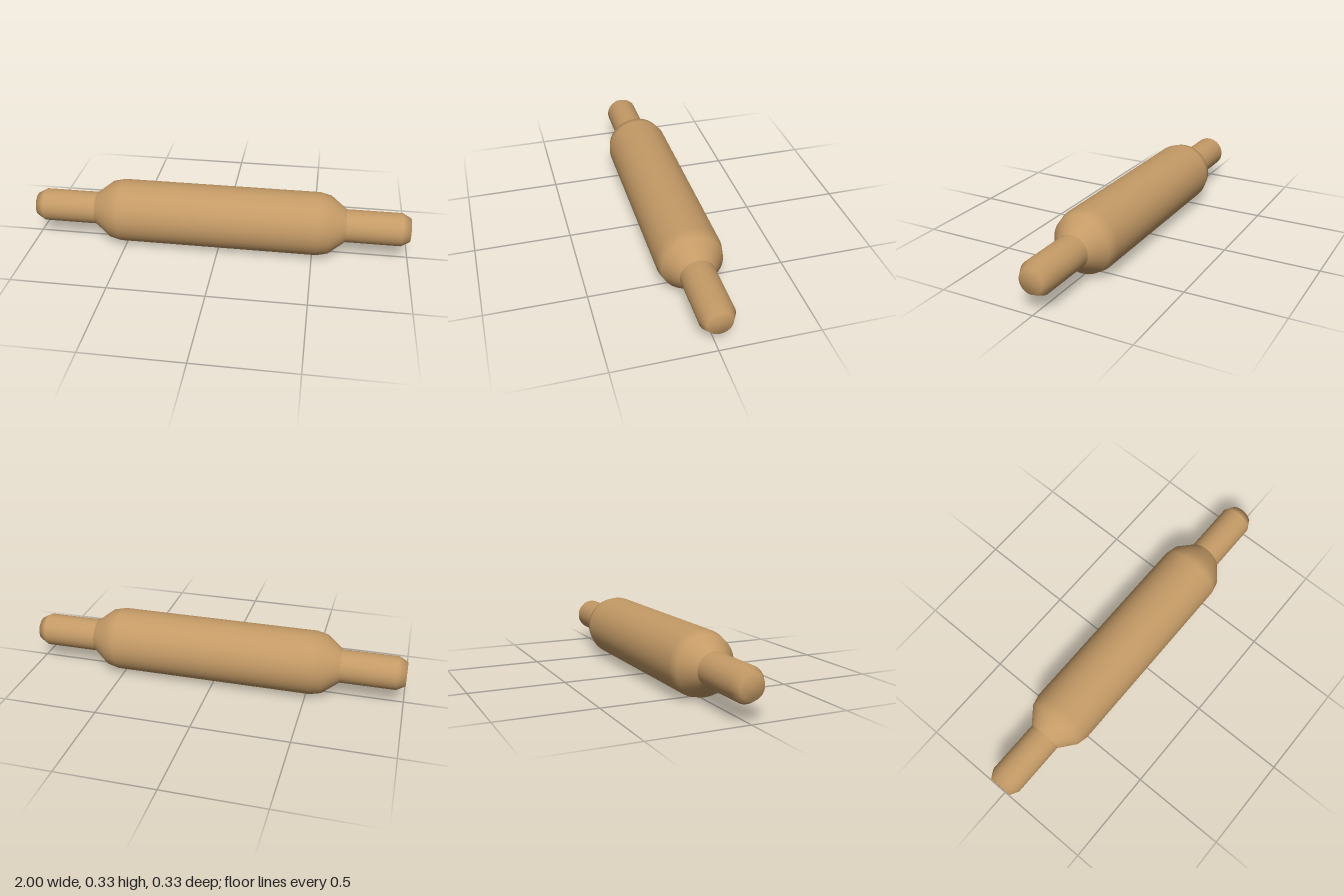
import * as THREE from 'three';

const RADIUS = 0.1665;
const SIDES = 64;

// Turn a profile of [radius, distance along axis] pairs
function turned(name, profile, material) {
  const points = profile.map(([r, d]) => new THREE.Vector2(r, d));
  const mesh = new THREE.Mesh(new THREE.LatheGeometry(points, SIDES), material);
  mesh.name = name;
  return mesh;
}

export function createModel() {
  const model = new THREE.Group();
  model.name = 'rollingPin';
  const wood = new THREE.MeshStandardMaterial({ color: 0xc49a66 });

  // Roller barrel with softened, tapering shoulders
  const shoulder = [[RADIUS, 0.525], [0.153, 0.583], [0.0866, 0.668]];
  const lower = shoulder.map(([r, d]) => [r, -d]).reverse();
  const roller = turned('roller', [...lower, ...shoulder], wood);
  roller.rotation.z = -Math.PI / 2;
  roller.position.y = RADIUS;
  model.add(roller);

  // Handles with chamfered, softly shaded ends
  const grip = [[0.0866, 0.64], [0.0866, 0.955], [0.062, 1], [0, 1]];
  for (const [name, side] of [['leftHandle', 1], ['rightHandle', -1]]) {
    const handle = turned(name, grip, wood);
    handle.rotation.z = -side * Math.PI / 2;
    handle.position.y = RADIUS;
    model.add(handle);
  }
  return model;
}
